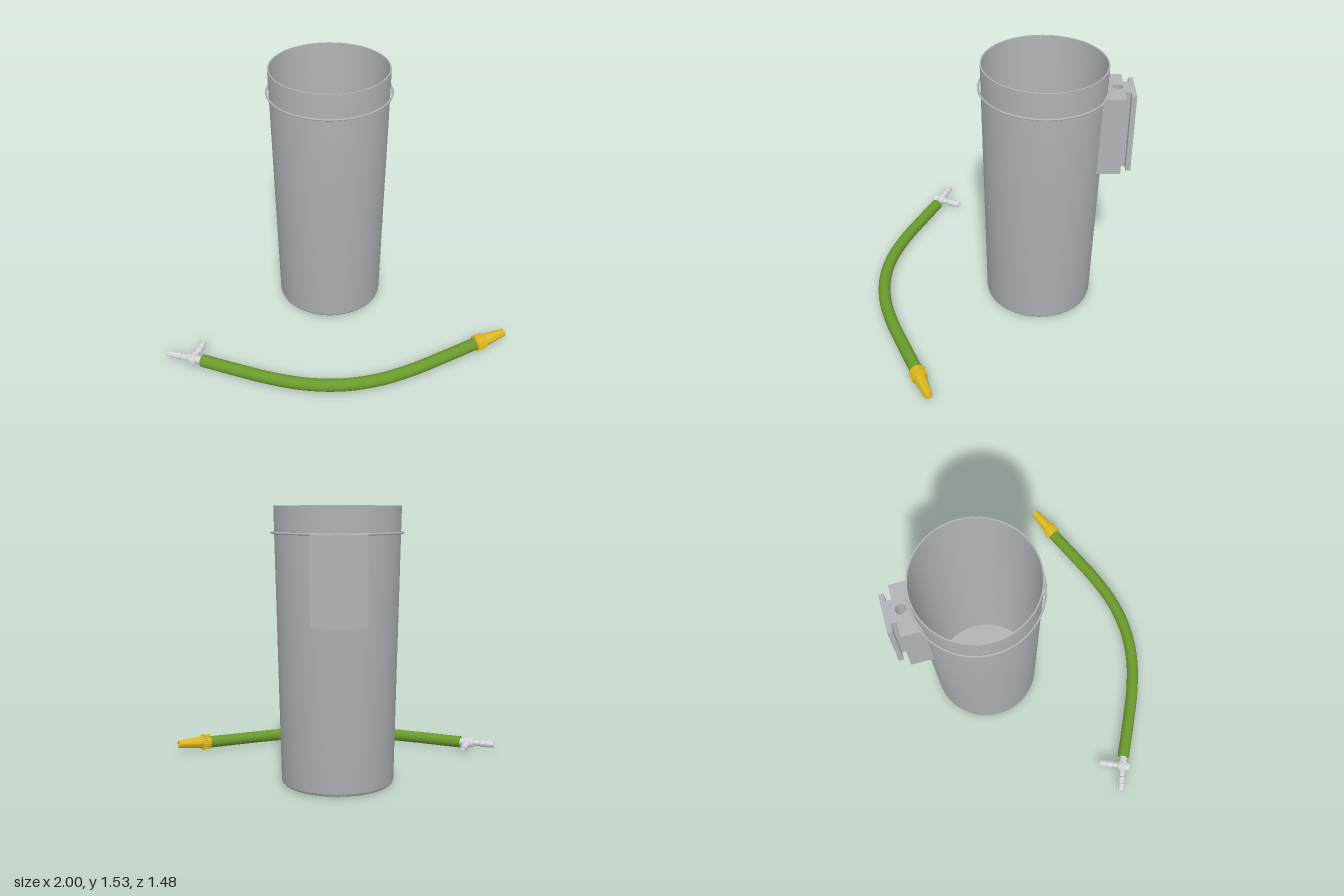
import * as THREE from 'three';
import { toCreasedNormals } from 'three/addons/utils/BufferGeometryUtils.js';

const mat = (name, color) => new THREE.MeshStandardMaterial({ name, color });
const V = (x, y, z) => new THREE.Vector3(x, y, z);
const UP = V(0, 1, 0);

function lathe(name, profile, segments, material) {
  const pts = profile.map(([r, y]) => new THREE.Vector2(r, y));
  const mesh = new THREE.Mesh(toCreasedNormals(new THREE.LatheGeometry(pts, segments), 0.6), material);
  mesh.name = name;
  return mesh;
}

// Moves an object so its local y axis runs from one point towards another
function aim(object, from, to) {
  object.position.copy(from);
  object.quaternion.setFromUnitVectors(UP, to.clone().sub(from).normalize());
  return object;
}

const HEIGHT = 1.535;
const wallRadius = (y) => 0.313 + 0.034 * y / HEIGHT;

function makeBucket(grey) {
  const bucket = new THREE.Group();
  bucket.name = 'bucket';
  const wall = 0.008;
  bucket.add(lathe('shell', [
    [0, 0], [0.295, 0], [0.304, 0.003], [0.311, 0.01], [wallRadius(0.02), 0.02],
    [wallRadius(HEIGHT), HEIGHT], [wallRadius(HEIGHT) - wall, HEIGHT],
    [wallRadius(0.02) - wall, 0.02], [0, 0.02],
  ], 64, grey));

  // Wire hoop below the rim
  const hoop = new THREE.Mesh(new THREE.TorusGeometry(0.357, 0.006, 10, 64), grey);
  hoop.name = 'hoop';
  hoop.rotation.x = Math.PI / 2;
  hoop.position.y = 1.39;
  bucket.add(hoop);

  // Slotted hanging bracket, with its inner face following the tapered wall
  const shape = new THREE.Shape();
  const spread = Math.asin(0.147 / 0.34);
  for (let i = 0; i <= 12; i++) {
    const a = -spread + 2 * spread * i / 12;
    const x = 0.34 * Math.sin(a), y = 0.34 * Math.cos(a);
    if (i) shape.lineTo(x, y); else shape.moveTo(x, y);
  }
  const half = [[0.147, 0.431], [0.064, 0.431], [0.064, 0.463], [0.108, 0.463], [0.108, 0.491]];
  half.forEach(([x, y]) => shape.lineTo(x, y));
  half.reverse().forEach(([x, y]) => shape.lineTo(-x, y));
  shape.closePath();
  const hole = new THREE.Path();
  hole.absarc(0, 0.397, 0.029, 0, Math.PI * 2, true);
  shape.holes.push(hole);
  const low = 0.925;
  const geo = new THREE.ExtrudeGeometry(shape, { depth: 0.468, bevelEnabled: false, curveSegments: 16 });
  geo.rotateX(-Math.PI / 2).translate(0, low, 0);
  const p = geo.attributes.position;
  for (let i = 0; i < p.count; i++) {
    const x = p.getX(i);
    if (Math.hypot(x, p.getZ(i)) < 0.35) {
      const r = wallRadius(p.getY(i)) - 0.004;
      p.setZ(i, -Math.sqrt(r * r - x * x));
    }
  }
  const bracket = new THREE.Mesh(toCreasedNormals(geo, 0.6), grey);
  bracket.name = 'bracket';
  bucket.add(bracket);
  bucket.position.z = -0.254;
  return bucket;
}

function makeHose(green) {
  const hose = new THREE.Group();
  hose.name = 'hose';
  const path = new THREE.CatmullRomCurve3([
    [-0.795, 0.43], [-0.6, 0.523], [-0.4, 0.612], [-0.2, 0.675], [0, 0.697],
    [0.2, 0.675], [0.4, 0.612], [0.6, 0.523], [0.82, 0.42],
  ].map(([x, z]) => V(x, 0.039 + 0.008 * Math.max(0, x), z)));
  const tube = new THREE.Mesh(new THREE.TubeGeometry(path, 64, 0.036, 24), green);
  tube.name = 'hoseTube';
  hose.add(tube);
  for (const [t, sign] of [[0, -1], [1, 1]]) {
    const cap = new THREE.Mesh(new THREE.CircleGeometry(0.036, 24), green);
    cap.name = 'hoseEnd';
    cap.position.copy(path.getPoint(t));
    cap.quaternion.setFromUnitVectors(V(0, 0, 1), path.getTangent(t).multiplyScalar(sign));
    hose.add(cap);
  }
  return hose;
}

function makeNozzle(yellow) {
  const nozzle = new THREE.Group();
  nozzle.name = 'nozzle';
  // Collar and hollow tapered spout
  nozzle.add(lathe('collar', [
    [0, 0], [0.038, 0], [0.043, 0.005], [0.043, 0.058], [0.038, 0.063], [0, 0.063],
  ], 32, yellow));
  nozzle.add(lathe('spout', [
    [0.036, 0.06], [0.036, 0.075], [0.023, 0.206], [0.016, 0.206], [0.016, 0.12], [0, 0.12],
  ], 32, yellow));
  // Grip ribs
  const ribs = 20;
  for (let i = 0; i < ribs; i++) {
    const a = i / ribs * Math.PI * 2;
    const rib = new THREE.Mesh(new THREE.BoxGeometry(0.006, 0.052, 0.008), yellow);
    rib.name = 'gripRib';
    rib.position.set(Math.sin(a) * 0.043, 0.0315, Math.cos(a) * 0.043);
    rib.rotation.y = a;
    nozzle.add(rib);
  }
  return aim(nozzle, V(0.797, 0.048, 0.433), V(0.985, 0.052, 0.352));
}

function makeTee(white) {
  const tee = new THREE.Group();
  tee.name = 'teeFitting';
  // Hollow tip with two barbs, ending at the given length
  const barbs = (end) => [
    [0.016, end - 0.088], [0.022, end - 0.082], [0.018, end - 0.046], [0.022, end - 0.042],
    [0.016, end], [0.01, end], [0.01, end - 0.04], [0, end - 0.04],
  ];
  const main = lathe('mainArm', [
    [0, 0], [0.022, 0], [0.022, 0.05], [0.027, 0.052], [0.027, 0.1], [0.018, 0.105], ...barbs(0.232),
  ], 24, white);
  tee.add(aim(main, V(-0.78, 0.04, 0.437), V(-0.995, 0.04, 0.352)));
  const side = lathe('sideArm', [
    [0, 0], [0.024, 0], [0.027, 0.004], [0.027, 0.07], [0.018, 0.078], ...barbs(0.19),
  ], 24, white);
  tee.add(aim(side, V(-0.864, 0.04, 0.449), V(-0.79, 0.04, 0.277)));
  return tee;
}

export function createModel() {
  const model = new THREE.Group();
  model.name = 'bucketAndHose';
  model.add(
    makeBucket(mat('bucketGrey', 0xb0b4b6)),
    makeHose(mat('hoseGreen', 0x6a9a2c)),
    makeNozzle(mat('nozzleYellow', 0xdcb820)),
    makeTee(mat('fittingWhite', 0xd4d8da)),
  );
  return model;
}
